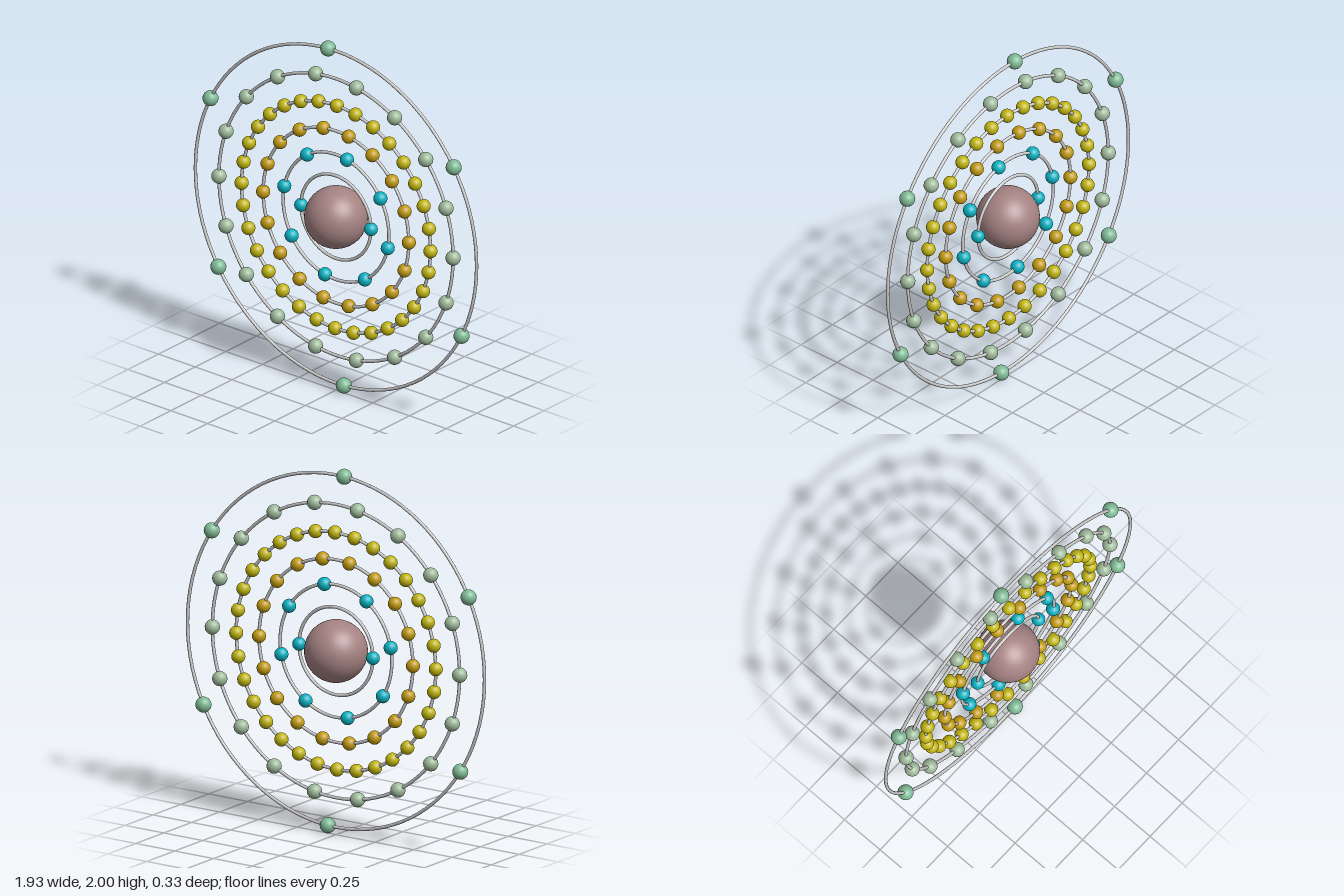
import * as THREE from 'three';

// Each shell: ring radius, number of balls, first angle in degrees, ball radius, colour
const SHELLS = [
  { radius: 0.238, count: 2, start: 0, ball: 0.036, color: 0x08b0c0 },
  { radius: 0.36, count: 8, start: 33, ball: 0.037, color: 0x08b0c0 },
  { radius: 0.496, count: 18, start: 0, ball: 0.037, color: 0xc09a10 },
  { radius: 0.643, count: 32, start: -0.6, ball: 0.037, color: 0xc0b410 },
  { radius: 0.797, count: 18, start: 0, ball: 0.04, color: 0x9fba9b },
  { radius: 0.957, count: 6, start: 33.2, ball: 0.042, color: 0x80ba96 },
];
const TUBE = 0.009;

const material = (color) => new THREE.MeshStandardMaterial({ color });

function createShell({ radius, count, start, ball, color }, index, ringMaterial) {
  const shell = new THREE.Group();
  shell.name = `shell${index + 1}`;

  // Thin upright ring
  const ring = new THREE.Mesh(new THREE.TorusGeometry(radius, TUBE, 10, 96), ringMaterial);
  ring.name = 'ring';
  shell.add(ring);

  // Balls threaded evenly along the ring
  const geometry = new THREE.SphereGeometry(ball, 24, 16);
  const ballMaterial = material(color);
  for (let i = 0; i < count; i++) {
    const angle = THREE.MathUtils.degToRad(start + (i * 360) / count);
    const mesh = new THREE.Mesh(geometry, ballMaterial);
    mesh.name = `ball${i + 1}`;
    mesh.position.set(radius * Math.cos(angle), radius * Math.sin(angle), 0);
    shell.add(mesh);
  }
  return shell;
}

export function createModel() {
  const model = new THREE.Group();
  model.name = 'atomShellModel';

  const body = new THREE.Group();
  body.name = 'atom';
  body.position.y = 1;
  model.add(body);

  // Central sphere
  const nucleus = new THREE.Mesh(new THREE.SphereGeometry(0.167, 48, 32), material(0xa58282));
  nucleus.name = 'nucleus';
  body.add(nucleus);

  // Concentric rings with their balls
  const ringMaterial = material(0xcccccc);
  SHELLS.forEach((shell, i) => body.add(createShell(shell, i, ringMaterial)));

  return model;
}
